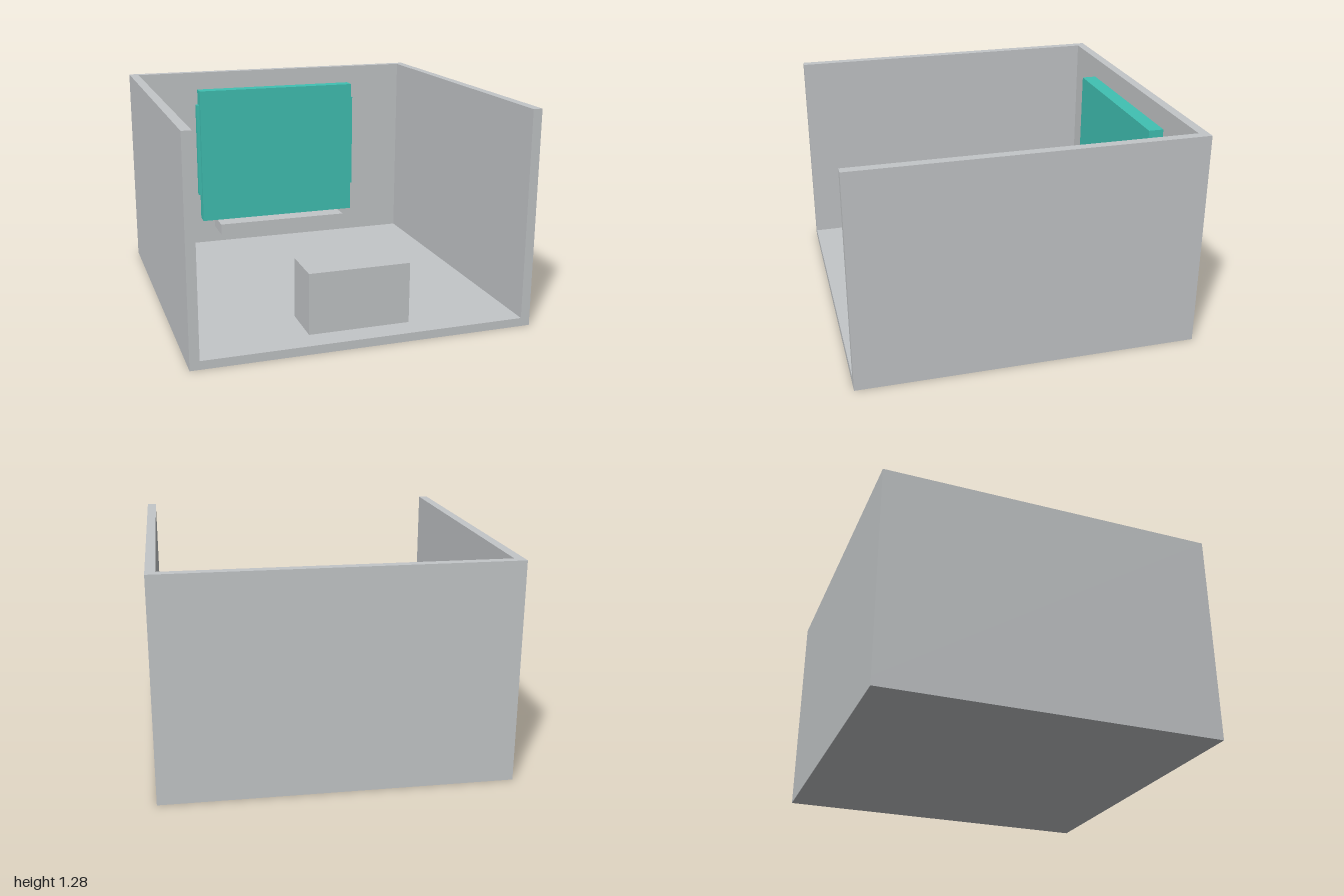
import * as THREE from 'three';

export function createModel() {
  const model = new THREE.Group();
  const grey = new THREE.MeshStandardMaterial({ name: 'pale grey', color: 0xc3c6c8 });
  const teal = new THREE.MeshStandardMaterial({ name: 'teal', color: 0x40c1b3 });

  // Box given by its extents on each axis
  const box = (name, material, [x0, x1], [y0, y1], [z0, z1], parent = model) => {
    const mesh = new THREE.Mesh(new THREE.BoxGeometry(x1 - x0, y1 - y0, z1 - z0), material);
    mesh.position.set((x0 + x1) / 2, (y0 + y1) / 2, (z0 + z1) / 2);
    mesh.name = name;
    parent.add(mesh);
  };

  // Room shell: floor, back wall and two side walls, open at the front and top
  const wall = 0.055, floor = 0.05, height = 1.28, inner = 1 - wall;
  const room = new THREE.Group();
  room.name = 'room';
  model.add(room);
  box('floor', grey, [-1, 1], [0, floor], [-1, 1], room);
  box('backWall', grey, [-inner, inner], [floor, height], [-1, -inner], room);
  box('leftWall', grey, [inner, 1], [floor, height], [-1, 1], room);
  box('rightWall', grey, [-1, -inner], [floor, height], [-1, 1], room);

  // Wall panel with a narrow strip along each side
  const panel = new THREE.Group();
  panel.name = 'wallPanel';
  model.add(panel);
  box('screen', teal, [-0.55, 0.55], [0.24, 1.165], [-0.93, -0.84], panel);
  box('leftStrip', teal, [0.55, 0.57], [0.425, 1.065], [-0.91, -0.87], panel);
  box('rightStrip', teal, [-0.57, -0.55], [0.425, 1.065], [-0.91, -0.87], panel);

  // Shelf under the panel, and the block on the floor
  box('shelf', grey, [-0.45, 0.45], [0.165, 0.24], [-inner, -0.72]);
  box('bench', grey, [-0.3, 0.3], [floor, 0.41], [0.575, 0.855]);

  return model;
}
